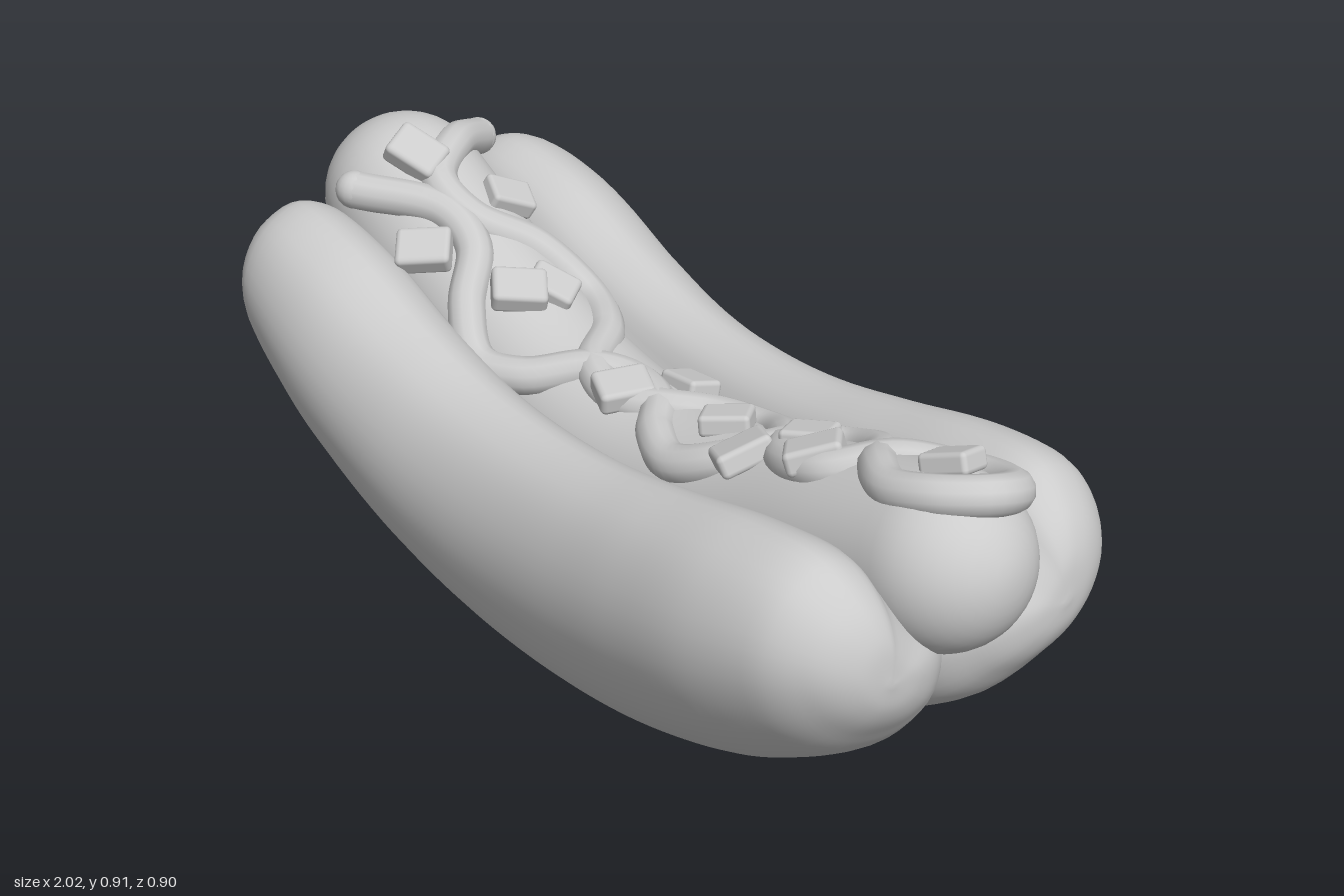
import * as THREE from 'three';
import { mergeVertices } from 'three/addons/utils/BufferGeometryUtils.js';
import { RoundedBoxGeometry } from 'three/addons/geometries/RoundedBoxGeometry.js';

const material = new THREE.MeshStandardMaterial({ color: 0xcccccc });
const V = (x, y, z = 0) => new THREE.Vector3(x, y, z);
const spline = (pts) => new THREE.CatmullRomCurve3(pts.map((p) => V(...p)));

// Smooth skin over closed rings that run from -x to +x
function loft(rings) {
  const n = rings[0].length, index = [];
  for (let i = 0; i < rings.length - 1; i++) {
    for (let j = 0; j < n; j++) {
      const k = (j + 1) % n, a = i * n + j, b = a + n, c = i * n + k, d = c + n;
      index.push(a, b, c, b, d, c);
    }
  }
  let geo = new THREE.BufferGeometry().setFromPoints(rings.flat());
  geo.setIndex(index);
  geo = mergeVertices(geo, 1e-5);
  geo.computeVertexNormals();
  return geo;
}

function add(parent, geo, name) {
  const mesh = new THREE.Mesh(geo, material);
  mesh.name = name;
  parent.add(mesh);
  return mesh;
}

// Bun half: underside line (x, y, width), top line (x, y) and one section (z, height 0..1)
const underside = spline([
  [-0.957, 0.58, 0], [-0.948, 0.51, 0.36], [-0.91, 0.435, 0.7], [-0.82, 0.335, 1], [-0.62, 0.19, 1.14],
  [-0.4, 0.08, 1.1], [-0.2, 0.022, 1.03], [0, 0.003, 1], [0.2, 0.015, 1.03], [0.4, 0.055, 1.1],
  [0.62, 0.13, 1.15], [0.81, 0.24, 1], [0.9, 0.34, 0.7], [0.94, 0.41, 0.36], [0.95, 0.48, 0]]);
const topside = spline([
  [-0.957, 0.58], [-0.948, 0.65], [-0.91, 0.725], [-0.83, 0.775], [-0.64, 0.757],
  [-0.4, 0.67], [-0.2, 0.617], [0, 0.6], [0.2, 0.61], [0.4, 0.645],
  [0.62, 0.69], [0.8, 0.697], [0.89, 0.64], [0.935, 0.57], [0.95, 0.48]]);
const section = new THREE.CatmullRomCurve3([
  [0.12, 0], [0.25, 0.06], [0.355, 0.24], [0.415, 0.5], [0.41, 0.74], [0.35, 0.93], [0.27, 1],
  [0.2, 0.94], [0.155, 0.8], [0.085, 0.62], [0, 0.44], [-0.02, 0.27], [0.025, 0.07],
].map(([z, v]) => V(z, v)), true).getPoints(48).slice(0, -1);

function bunGeometry(side) {
  const rings = [], middle = 0.22;
  for (let i = 0; i <= 84; i++) {
    const b = underside.getPoint(i / 84), t = topside.getPoint(i / 84);
    const ring = section.map((p) => V(
      b.x + (t.x - b.x) * p.y,
      b.y + (t.y - b.y) * p.y,
      side * (middle + (p.x - middle) * b.z)));
    rings.push(side > 0 ? ring : ring.reverse());
  }
  return loft(rings);
}

// Sausage: bent capsule
const R = 0.175;
const axis = spline([[-0.84, 0.71], [-0.6, 0.585], [-0.3, 0.455], [0, 0.41], [0.3, 0.445], [0.6, 0.535], [0.83, 0.6]]);

function sausageGeometry() {
  const rings = [];
  const ring = (t, along, r) => {
    const dir = axis.getTangent(t), c = axis.getPoint(t).addScaledVector(dir, along);
    rings.push(Array.from({ length: 40 }, (_, j) => {
      const a = (j / 40) * Math.PI * 2, h = Math.sin(a) * r;
      return V(c.x - dir.y * h, c.y + dir.x * h, -0.008 + Math.cos(a) * r);
    }));
  };
  const cap = (k) => (k / 10) * Math.PI / 2;
  for (let k = 0; k < 10; k++) ring(0, -R * Math.cos(cap(k)), R * Math.sin(cap(k)));
  for (let k = 0; k <= 40; k++) ring(k / 40, 0, R);
  for (let k = 9; k >= 0; k--) ring(1, R * Math.cos(cap(k)), R * Math.sin(cap(k)));
  return loft(rings);
}

// Height and slope of the sausage's upper side
const axisPoints = axis.getPoints(200);
function surface(x, z) {
  let i = axisPoints.findIndex((p) => p.x > x);
  if (i < 0) i = 200;
  const b = axisPoints[Math.max(i, 1)], a = axisPoints[Math.max(i, 1) - 1];
  const slope = (b.y - a.y) / (b.x - a.x);
  const lift = R * Math.sqrt(1 + slope * slope) - 0.45 * z * z / R;
  const reach = Math.min(Math.max(x, -0.84), 0.83);
  return { y: a.y + slope * (reach - a.x) + lift, slope };
}

// Sauce: one strand that runs out, loops round and weaves back (x, z)
const saucePath = [
  [-0.83, -0.19], [-0.76, -0.08], [-0.68, 0.02], [-0.58, 0.01], [-0.49, -0.09], [-0.38, -0.14], [-0.26, -0.09],
  [-0.16, 0.02], [-0.05, 0.045], [0.04, 0], [0.12, -0.07], [0.24, -0.1], [0.35, -0.05], [0.45, 0.04],
  [0.57, 0.05], [0.65, -0.05], [0.72, -0.13], [0.81, -0.15], [0.9, -0.11], [0.92, -0.03], [0.86, 0.04],
  [0.76, 0.06], [0.67, 0.01], [0.58, -0.08], [0.48, -0.1], [0.4, -0.04], [0.31, 0.07], [0.2, 0.11],
  [0.1, 0.07], [0.02, 0], [-0.08, -0.02], [-0.16, 0.03], [-0.25, 0.13], [-0.35, 0.17], [-0.44, 0.13],
  [-0.52, 0.05], [-0.62, 0.05], [-0.78, 0.165]];

// Chopped pieces: x, z, turn
const chunks = [
  [-0.73, 0.04, 0.5], [-0.6, -0.1, 1.2], [-0.57, 0.14, 0.9], [-0.36, -0.03, 0.6], [-0.38, 0.04, 1],
  [0, -0.1, 0], [-0.04, 0.04, 1.2], [0.22, -0.01, 0.7], [0.36, 0.07, 1.1], [0.45, -0.02, 0.5],
  [0.53, 0.04, 0.8], [0.81, -0.04, 0.3]];

export function createModel() {
  const model = new THREE.Group();
  model.name = 'filledBun';
  add(model, bunGeometry(1), 'frontBun');
  add(model, bunGeometry(-1), 'backBun');
  add(model, sausageGeometry(), 'sausage');

  const sauce = new THREE.Group();
  sauce.name = 'sauce';
  model.add(sauce);
  const thick = 0.04;
  const strand = saucePath.map(([x, z]) => V(x, surface(x, z).y - 0.015, z));
  add(sauce, new THREE.TubeGeometry(new THREE.CatmullRomCurve3(strand), 260, thick, 12), 'sauceStrand');
  for (const p of [strand[0], strand[strand.length - 1]]) {
    add(sauce, new THREE.SphereGeometry(thick, 16, 12), 'sauceEnd').position.copy(p);
  }

  const topping = new THREE.Group();
  topping.name = 'topping';
  model.add(topping);
  const chunkGeo = new RoundedBoxGeometry(0.115, 0.05, 0.09, 2, 0.012);
  chunks.forEach(([x, z, turn], i) => {
    const s = surface(x, z);
    const chunk = add(topping, chunkGeo, 'choppedPiece');
    chunk.position.set(x, s.y + 0.01, z);
    chunk.rotation.set(z * 3, turn, Math.atan(s.slope) + 0.12 * (i % 3 - 1), 'ZXY');
    if (i % 2) chunk.scale.setScalar(0.9);
  });
  return model;
}
